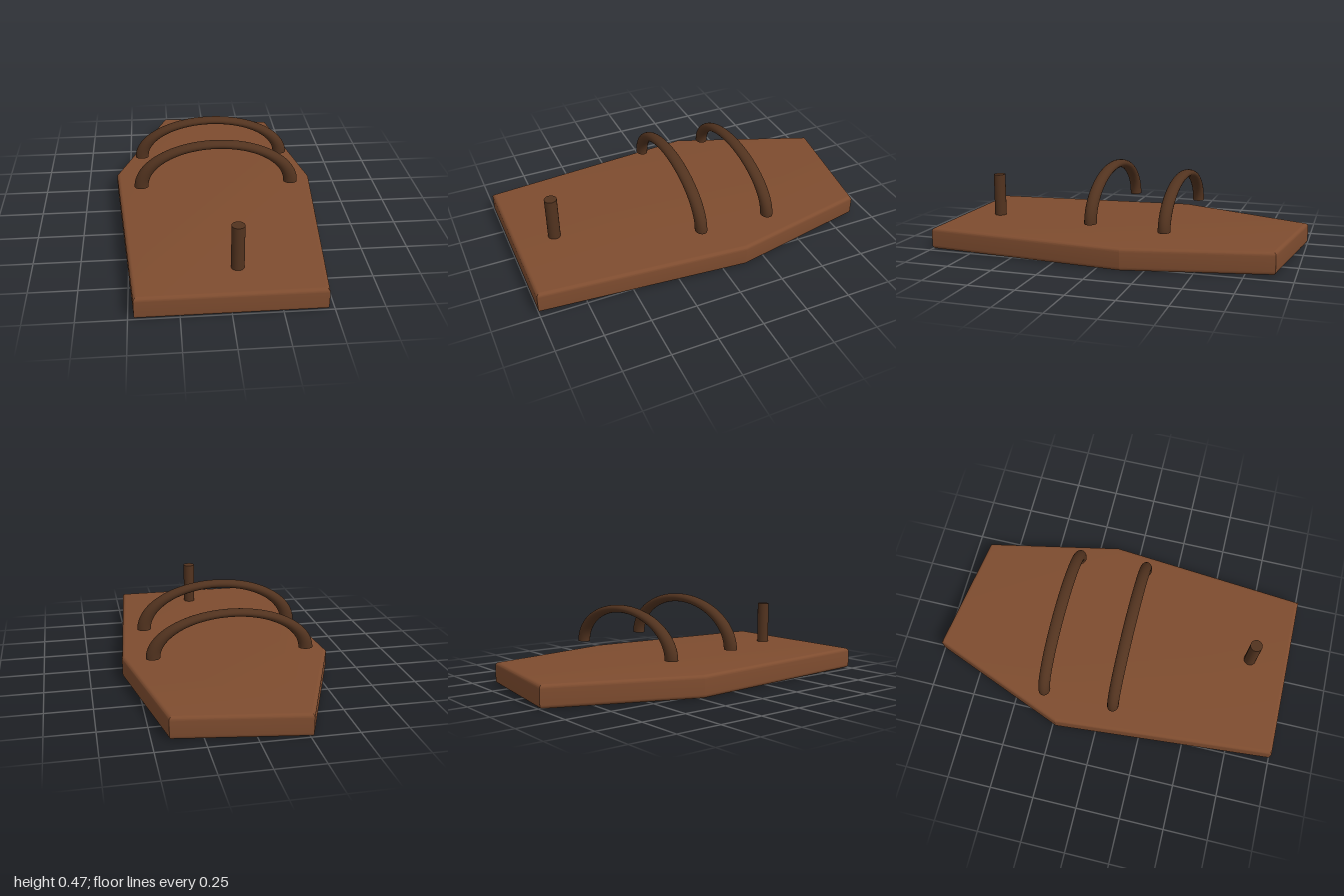
import * as THREE from 'three';
import { toCreasedNormals } from 'three/addons/utils/BufferGeometryUtils.js';

const boardWood = new THREE.MeshStandardMaterial({ name: 'brown wood', color: 0x7e4c2f });
const darkWood = new THREE.MeshStandardMaterial({ name: 'dark wood', color: 0x52331f });

// Six-sided board with softly rounded top and bottom edges
function makeBoard() {
  const height = 0.12, bevel = 0.02;
  const outline = [[-0.47, 1], [0.47, 1], [0.57, -0.13], [0.415, -0.9], [-0.265, -1], [-0.573, -0.23]];
  const shape = new THREE.Shape(outline.map(([x, z]) => new THREE.Vector2(x, -z)));
  const geometry = new THREE.ExtrudeGeometry(shape, {
    depth: height - 2 * bevel, bevelThickness: bevel, bevelSize: bevel, bevelOffset: -bevel, bevelSegments: 8,
  });
  geometry.rotateX(-Math.PI / 2).translate(0, bevel, 0);
  const board = new THREE.Mesh(toCreasedNormals(geometry, 0.24), boardWood);
  board.name = 'board';
  return board;
}

// Flattened half ring floating above the board, closed at both feet
function makeHoop(name, base, top, halfWidth, z) {
  const ring = 0.3525, tube = 0.0325;
  const hoop = new THREE.Group();
  hoop.name = name;
  const arch = new THREE.Mesh(new THREE.TorusGeometry(ring, tube, 20, 48, Math.PI), darkWood);
  arch.name = 'arch';
  hoop.add(arch);
  for (const side of [-1, 1]) {
    const foot = new THREE.Mesh(new THREE.CircleGeometry(tube, 20), darkWood);
    foot.name = 'hoopEnd';
    foot.rotation.x = Math.PI / 2;
    foot.position.x = side * ring;
    hoop.add(foot);
  }
  hoop.scale.set(halfWidth / (ring + tube), (top - base) / (ring + tube), 1);
  hoop.position.set(0, base, z);
  return hoop;
}

export function createModel() {
  const model = new THREE.Group();
  model.name = 'boardWithHoops';
  model.add(makeBoard());
  model.add(makeHoop('frontHoop', 0.2, 0.47, 0.462, 0.075));
  model.add(makeHoop('backHoop', 0.183, 0.43, 0.458, -0.325));

  // Upright peg near the front edge
  const peg = new THREE.Mesh(new THREE.CylinderGeometry(0.034, 0.034, 0.255, 24), darkWood);
  peg.name = 'peg';
  peg.position.set(0.048, 0.236, 0.78);
  model.add(peg);
  return model;
}
